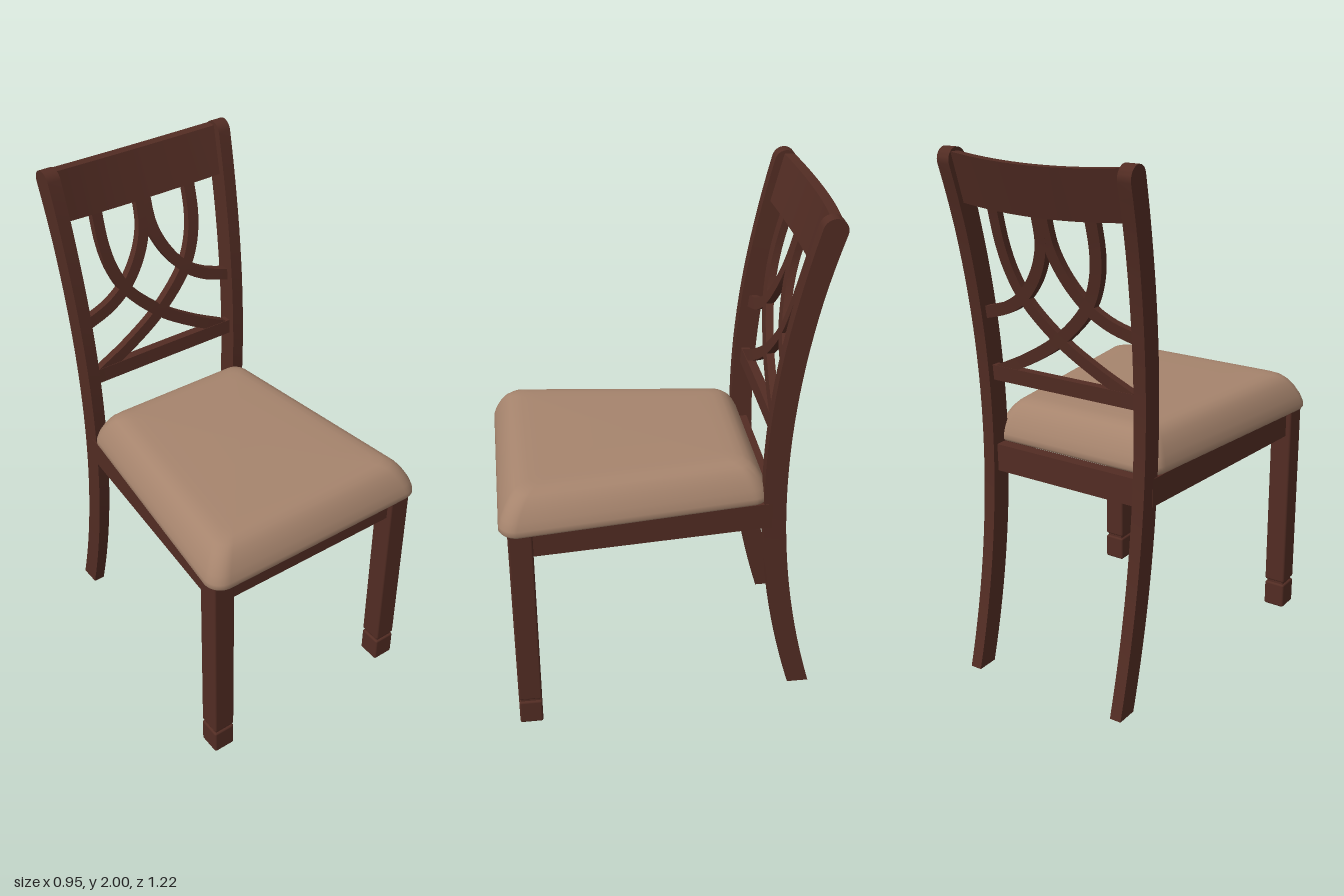
import * as THREE from 'three';
import { toCreasedNormals } from 'three/addons/utils/BufferGeometryUtils.js';
import { RoundedBoxGeometry } from 'three/addons/geometries/RoundedBoxGeometry.js';

const wood = new THREE.MeshStandardMaterial({ color: 0x522c23 });
wood.name = 'dark wood';
const fabric = new THREE.MeshStandardMaterial({ color: 0xa6846d });
fabric.name = 'tan fabric';

// Curves shared by the posts and everything held between them
const spineZ = (y) => -0.418 - 0.146 * (y - 0.98) ** 2;
const postX = (y) => 0.327 + 0.011 * y * y;
const backZ = (x, y) => {
  const bow = 0.034 * Math.max(0, (y - 1.12) / 0.85);
  return spineZ(y) - bow * (1 - (x / 0.36) ** 2);
};

// Skins a row of equal-sized rings [[x, y, z], ...] and caps both ends
function loft(rings, crease = 0.6) {
  const n = rings[0].length;
  const pos = rings.flat(2);
  let idx = [];
  for (let i = 0; i < rings.length - 1; i++) {
    for (let j = 0; j < n; j++) {
      const a = i * n + j, b = i * n + (j + 1) % n;
      idx.push(a, b, b + n, a, b + n, a + n);
    }
  }
  for (const [k, flip] of [[0, true], [rings.length - 1, false]]) {
    const c = pos.length / 3;
    for (let d = 0; d < 3; d++) pos.push(rings[k].reduce((s, p) => s + p[d] / n, 0));
    for (let j = 0; j < n; j++) {
      const a = k * n + j, b = k * n + (j + 1) % n;
      idx.push(...(flip ? [c, b, a] : [c, a, b]));
    }
  }
  // Turn the faces outward if the enclosed volume is negative
  const v = (i) => new THREE.Vector3().fromArray(pos, i * 3);
  let volume = 0;
  for (let t = 0; t < idx.length; t += 3) {
    volume += v(idx[t]).dot(v(idx[t + 1]).cross(v(idx[t + 2])));
  }
  if (volume < 0) idx = idx.reverse();
  const g = new THREE.BufferGeometry();
  g.setAttribute('position', new THREE.Float32BufferAttribute(pos, 3));
  g.setIndex(idx);
  return toCreasedNormals(g, crease);
}

// Curved rear post that is also the rear leg, with a rounded top
function postGeometry(side) {
  const rings = [];
  const ring = (y, z, h, tilt) => {
    const x = side * postX(y), w = 0.023 + 0.0015 * y;
    rings.push([[x - w, y - h * tilt, z - h], [x + w, y - h * tilt, z - h],
      [x + w, y + h * tilt, z + h], [x - w, y + h * tilt, z + h]]);
  };
  const top = 1.957;
  for (let i = 0; i <= 32; i++) {
    const y = top * i / 32;
    ring(y, spineZ(y), 0.0425, i > 28 ? 0.28 * (i - 28) / 4 : 0);
  }
  for (let i = 1; i <= 8; i++) {
    const a = Math.PI / 2 * i / 8, r = 0.0425 * Math.sin(a);
    ring(top + r, spineZ(top) - 0.28 * r, Math.max(0.0425 * Math.cos(a), 0.001), 0.28);
  }
  return loft(rings);
}

// Cross rail following the bow of the back
function railGeometry(y0, y1, sag, depth) {
  const rings = [];
  for (let i = 0; i <= 24; i++) {
    const t = i / 12 - 1;
    const drop = sag * (1 - t * t);
    const corner = (y, d) => {
      const x = t * postX(y);
      return [x, y - drop, backZ(x, y - drop) + d];
    };
    rings.push([corner(y0, -depth), corner(y1, -depth), corner(y1, depth), corner(y0, depth)]);
  }
  return loft(rings);
}

// Flat lattice strip along a curve drawn on the back
function stripGeometry(points, side, width = 0.045, depth = 0.015) {
  const curve = new THREE.CatmullRomCurve3(
    points.map(([x, y]) => new THREE.Vector3(side * x, y, 0)));
  const rings = [];
  for (let i = 0; i <= 28; i++) {
    const p = curve.getPoint(i / 28), t = curve.getTangent(i / 28);
    const corner = (s, d) => {
      const x = p.x - t.y * s * width / 2, y = p.y + t.x * s * width / 2;
      return [x, y, backZ(x, y) + d * depth];
    };
    rings.push([corner(-1, -1), corner(1, -1), corner(1, 1), corner(-1, 1)]);
  }
  return loft(rings);
}

// Padded seat: rounded trapezoids stacked with a growing inset
function cushionGeometry() {
  const profile = [[0.022, 0.884], [0.006, 0.887], [0, 0.897], [0.002, 0.915], [0.012, 0.945],
    [0.028, 0.977], [0.046, 1.004], [0.066, 1.023], [0.09, 1.034], [0.12, 1.038], [0.16, 1.04]];
  const rings = profile.map(([inset, y]) => {
    const r = 0.065 - inset * 0.2;
    const zf = 0.605 - inset, zb = -0.402 + inset;
    const half = (z) => 0.41 + 0.118 * z - inset;
    const ring = [];
    [[1, 1], [-1, 1], [-1, -1], [1, -1]].forEach(([sx, sz], q) => {
      const cz = sz > 0 ? zf - r : zb + r;
      const cx = sx * (half(cz) - r);
      for (let k = 0; k <= 8; k++) {
        const a = Math.PI / 2 * (q + k / 8);
        ring.push([cx + r * Math.cos(a), y, cz + r * Math.sin(a)]);
      }
    });
    return ring;
  });
  return loft(rings, 0.9);
}

export function createModel() {
  const chair = new THREE.Group();
  chair.name = 'diningChair';
  const add = (name, geometry, material = wood, x = 0, y = 0, z = 0) => {
    const mesh = new THREE.Mesh(geometry, material);
    mesh.name = name;
    mesh.position.set(x, y, z);
    chair.add(mesh);
    return mesh;
  };

  add('seatCushion', cushionGeometry(), fabric);

  // Legs, posts, side aprons and lattice, mirrored
  for (const [side, label] of [[1, 'left'], [-1, 'right']]) {
    const legX = side * 0.411, legZ = 0.529;
    add(label + 'FrontLeg', new RoundedBoxGeometry(0.088, 0.775, 0.09, 2, 0.008), wood, legX, 0.5025, legZ);
    add(label + 'FrontLegNeck', new THREE.BoxGeometry(0.072, 0.03, 0.074), wood, legX, 0.108, legZ);
    add(label + 'FrontFoot', new RoundedBoxGeometry(0.088, 0.104, 0.09, 2, 0.008), wood, legX, 0.052, legZ);
    add(label + 'RearPost', postGeometry(side));

    const section = (x, z) => [[side * (x - 0.023), 0.78, z], [side * (x + 0.023), 0.78, z],
      [side * (x + 0.023), 0.886, z], [side * (x - 0.023), 0.886, z]];
    add(label + 'SideApron', loft([section(0.412, 0.5), section(0.337, -0.41)]));

    add(label + 'LongLatticeStrip', stripGeometry(
      [[0.205, 1.82], [0.202, 1.68], [0.18, 1.575], [0.13, 1.475], [0, 1.345], [0.001 - 0.15, 1.25], [-0.29, 1.18]], side));
    add(label + 'ShortLatticeStrip', stripGeometry(
      [[0.01, 1.82], [0.018, 1.69], [0.06, 1.585], [0.135, 1.49], [0.22, 1.435], [0.345, 1.395]], side));
  }

  // Aprons and back rails
  add('frontApron', new THREE.BoxGeometry(0.76, 0.106, 0.046), wood, 0, 0.833, 0.53);
  add('rearApron', new THREE.BoxGeometry(0.64, 0.106, 0.046), wood, 0, 0.833, -0.418);
  add('topRail', railGeometry(1.81, 1.99, 0.018, 0.019));
  add('lowerBackRail', railGeometry(1.14, 1.198, 0, 0.017));

  return chair;
}
